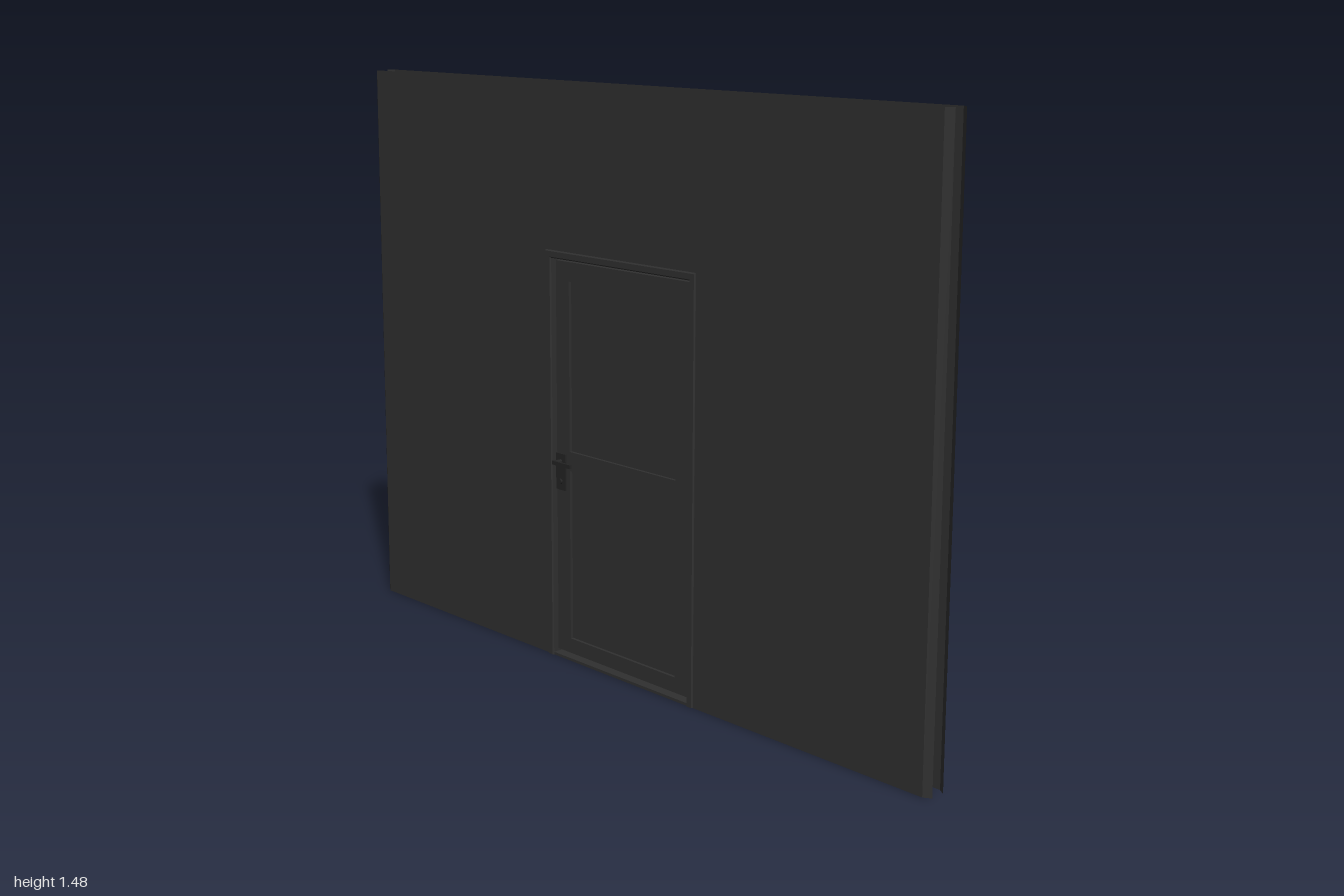
import * as THREE from 'three';

const paint = new THREE.MeshStandardMaterial({ color: 0x303030, side: THREE.DoubleSide });
paint.name = 'charcoal paint';
const metal = new THREE.MeshStandardMaterial({ color: 0x242424 });
metal.name = 'dark metal';

const W = 1, H = 1.475;          // half width and height of the wall
const FACE = 0.03, LIP = 0.018;  // depth of the wall faces and of their folded ends

function add(parent, name, geometry, material, x = 0, y = 0, z = 0) {
  const mesh = new THREE.Mesh(geometry, material);
  mesh.name = name;
  mesh.position.set(x, y, z);
  parent.add(mesh);
  return mesh;
}

const box = (w, h, d) => new THREE.BoxGeometry(w, h, d);

function polygon(points, PathType = THREE.Shape) {
  return new PathType(points.map(([x, y]) => new THREE.Vector2(x, y)));
}

const rect = (x0, y0, x1, y1, PathType) =>
  polygon([[x0, y0], [x1, y0], [x1, y1], [x0, y1]], PathType);

// Outline that goes around a doorway open at the bottom
const portal = (outer, top, inner, innerTop) => polygon([
  [-outer, 0], [-inner, 0], [-inner, innerTop], [inner, innerTop],
  [inner, 0], [outer, 0], [outer, top], [-outer, top],
]);

// Thin wall skin with slanted ends
function wallSkin() {
  const skin = new THREE.Group();
  skin.name = 'wallSkin';
  const flat = W - 0.018;
  add(skin, 'wallFace', new THREE.ShapeGeometry(portal(flat, H, 0.262, 1.053)), paint, 0, 0, FACE);
  for (const side of [-1, 1]) {
    const dx = W - flat, dz = FACE - LIP;
    const lip = add(skin, 'slantedEnd', new THREE.PlaneGeometry(Math.hypot(dx, dz), H), paint,
      side * (W + flat) / 2, H / 2, (FACE + LIP) / 2);
    lip.rotation.y = side * Math.atan2(dz, dx);
  }
  return skin;
}

function doorFrame() {
  const bevel = 0.003;
  const geometry = new THREE.ExtrudeGeometry(portal(0.267, 1.057, 0.252, 1.043), {
    depth: 0.062, bevelEnabled: true, bevelThickness: bevel, bevelSize: bevel, bevelSegments: 1,
  });
  geometry.translate(0, 0, -0.031);
  // Keep the feet level with the floor
  const p = geometry.attributes.position;
  for (let i = 0; i < p.count; i++) p.setY(i, Math.max(0, p.getY(i)));
  return geometry;
}

// Door leaf with a recessed panel above and below the middle rail
function doorLeaf() {
  const leaf = new THREE.Group();
  leaf.name = 'doorLeaf';
  const shape = rect(-0.244, 0.016, 0.241, 1.034);
  for (const [bottom, top] of [[0.055, 0.5], [0.55, 0.985]])
    shape.holes.push(rect(-0.195, bottom, 0.195, top, THREE.Path));
  add(leaf, 'doorRails', new THREE.ExtrudeGeometry(shape, { depth: 0.04, bevelEnabled: false }),
    paint, 0, 0, -0.02);
  add(leaf, 'doorPanels', box(0.42, 0.96, 0.024), paint, 0, 0.52, 0);
  return leaf;
}

// Lever, back plate and key cylinder for one face of the door
function handle(side) {
  const set = new THREE.Group();
  set.name = side > 0 ? 'frontHandle' : 'backHandle';
  const x = -0.226;
  add(set, 'backPlate', box(0.036, 0.095, 0.004), metal, x, 0.493, side * 0.022);
  const spindle = add(set, 'spindle', new THREE.CylinderGeometry(0.006, 0.006, 0.024, 12), metal,
    x, 0.52, side * 0.034);
  spindle.rotation.x = Math.PI / 2;
  add(set, 'lever', box(0.068, 0.01, 0.006), metal, x + 0.028, 0.52, side * 0.044);
  const key = add(set, 'keyCylinder', new THREE.CylinderGeometry(0.007, 0.007, 0.006, 12), metal,
    x, 0.468, side * 0.026);
  key.rotation.x = Math.PI / 2;
  return set;
}

export function createModel() {
  const model = new THREE.Group();
  model.name = 'wallWithDoor';

  const front = wallSkin();
  const back = wallSkin();
  back.rotation.y = Math.PI;
  model.add(front, back);

  add(model, 'doorFrame', doorFrame(), paint);
  add(model, 'threshold', box(0.5, 0.007, 0.062), paint, 0, 0.0035, 0);
  model.add(doorLeaf(), handle(1), handle(-1));

  // Hinges on the left edge of the door
  for (const y of [0.05, 0.52, 0.99]) {
    add(model, 'hingeLeaf', box(0.008, 0.062, 0.036), metal, 0.245, y, 0);
    add(model, 'hingeKnuckle', new THREE.CylinderGeometry(0.005, 0.005, 0.064, 10), metal,
      0.245, y, -0.021);
  }
  return model;
}
